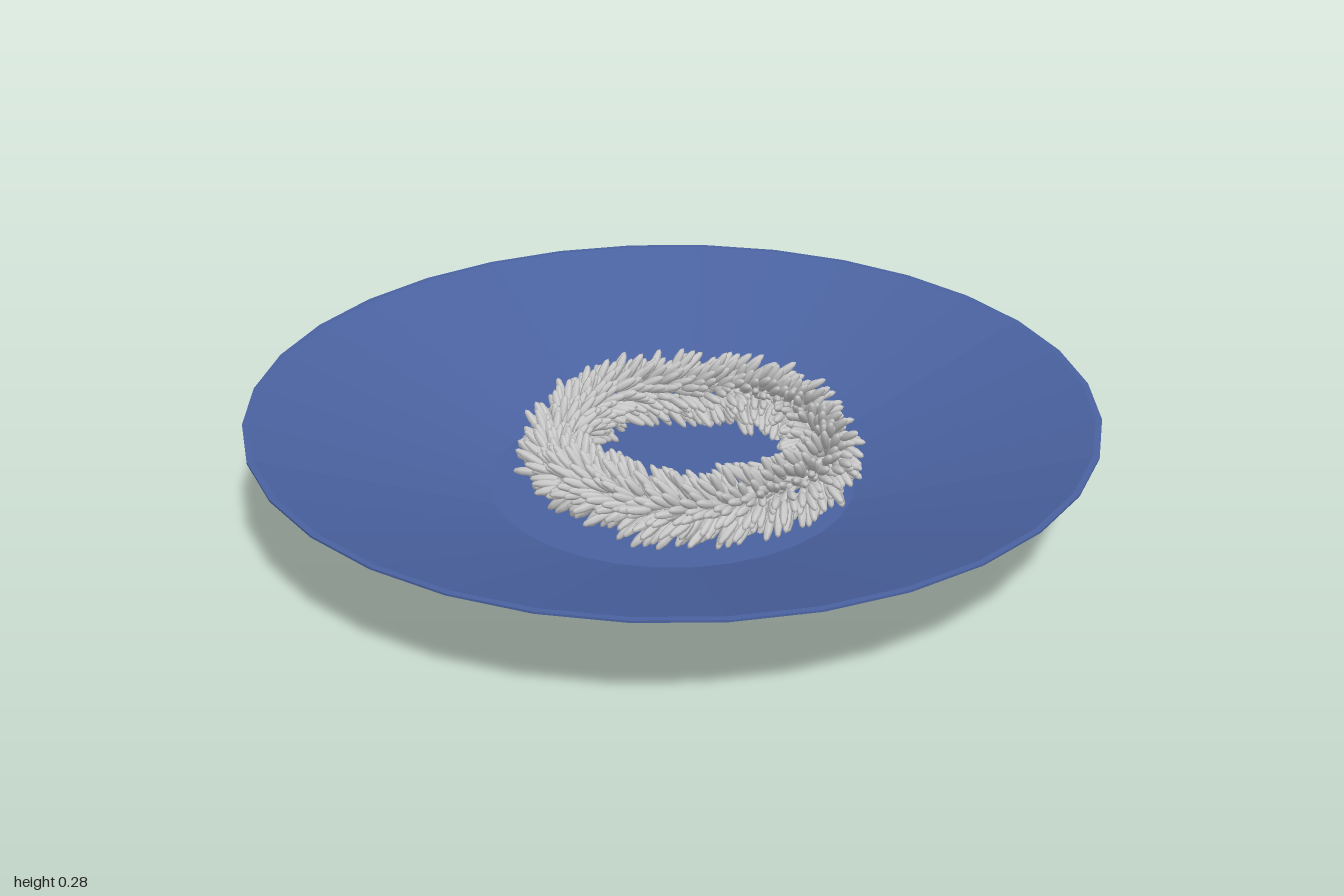
import * as THREE from 'three';
import { mergeGeometries } from 'three/addons/utils/BufferGeometryUtils.js';

// small seeded generator, returns 0..1
function seeded(seed) {
  return () => {
    seed = (seed * 1664525 + 1013904223) % 4294967296;
    return seed / 4294967296;
  };
}

export function createModel() {
  const group = new THREE.Group();
  const blue = new THREE.MeshStandardMaterial({ color: 0x4a62a0, flatShading: true });
  const grey = new THREE.MeshStandardMaterial({ color: 0xcccccc });

  // wide shallow dish: underside, thin lip, inner slope, flat floor
  const profile = [[0, 0.07], [0.39, 0.07], [1, 0.28], [1, 0.285], [0.985, 0.285], [0.435, 0.088], [0, 0.085]];
  const dish = new THREE.Mesh(
    new THREE.LatheGeometry(profile.map(([r, y]) => new THREE.Vector2(r, y)), 32), blue);
  dish.name = 'dish';
  group.add(dish);

  // foot, slightly off centre
  const foot = new THREE.Mesh(new THREE.CylinderGeometry(0.385, 0.385, 0.075, 32), blue);
  foot.name = 'foot';
  foot.position.set(-0.015, 0.0375, 0.035);
  group.add(foot);

  // wreath: grains leaning outward from a ring, swept along its direction
  const rand = seeded(7);
  const grain = new THREE.SphereGeometry(1, 6, 5);
  const up = new THREE.Vector3(0, 1, 0);
  const grains = [];
  const count = 1300, ringRadius = 0.315;
  for (let i = 0; i < count; i++) {
    const a = (i / count) * Math.PI * 2;
    const b = i * 2.39996 + (rand() - 0.5) * 0.5;
    const radial = new THREE.Vector3(Math.cos(a), 0, Math.sin(a));
    const tangent = new THREE.Vector3(-Math.sin(a), 0, Math.cos(a));
    const normal = radial.clone().multiplyScalar(Math.cos(b)).addScaledVector(up, Math.sin(b));
    const direction = normal.clone().addScaledVector(tangent, 0.5 + 0.5 * rand()).normalize();
    const offset = 0.035 + 0.04 * rand();
    const wobble = 0.012 * Math.sin(5 * a + 1);
    const position = radial.clone().multiplyScalar(ringRadius + wobble).addScaledVector(normal, offset);
    const half = 0.032 + 0.01 * rand();
    const matrix = new THREE.Matrix4().compose(
      position,
      new THREE.Quaternion().setFromUnitVectors(up, direction),
      new THREE.Vector3(0.011, half, 0.011));
    grains.push(grain.clone().applyMatrix4(matrix));
  }
  const wreath = new THREE.Mesh(mergeGeometries(grains), grey);
  wreath.name = 'grainWreath';
  wreath.position.set(0.04, 0.177, -0.012);
  group.add(wreath);

  return group;
}
